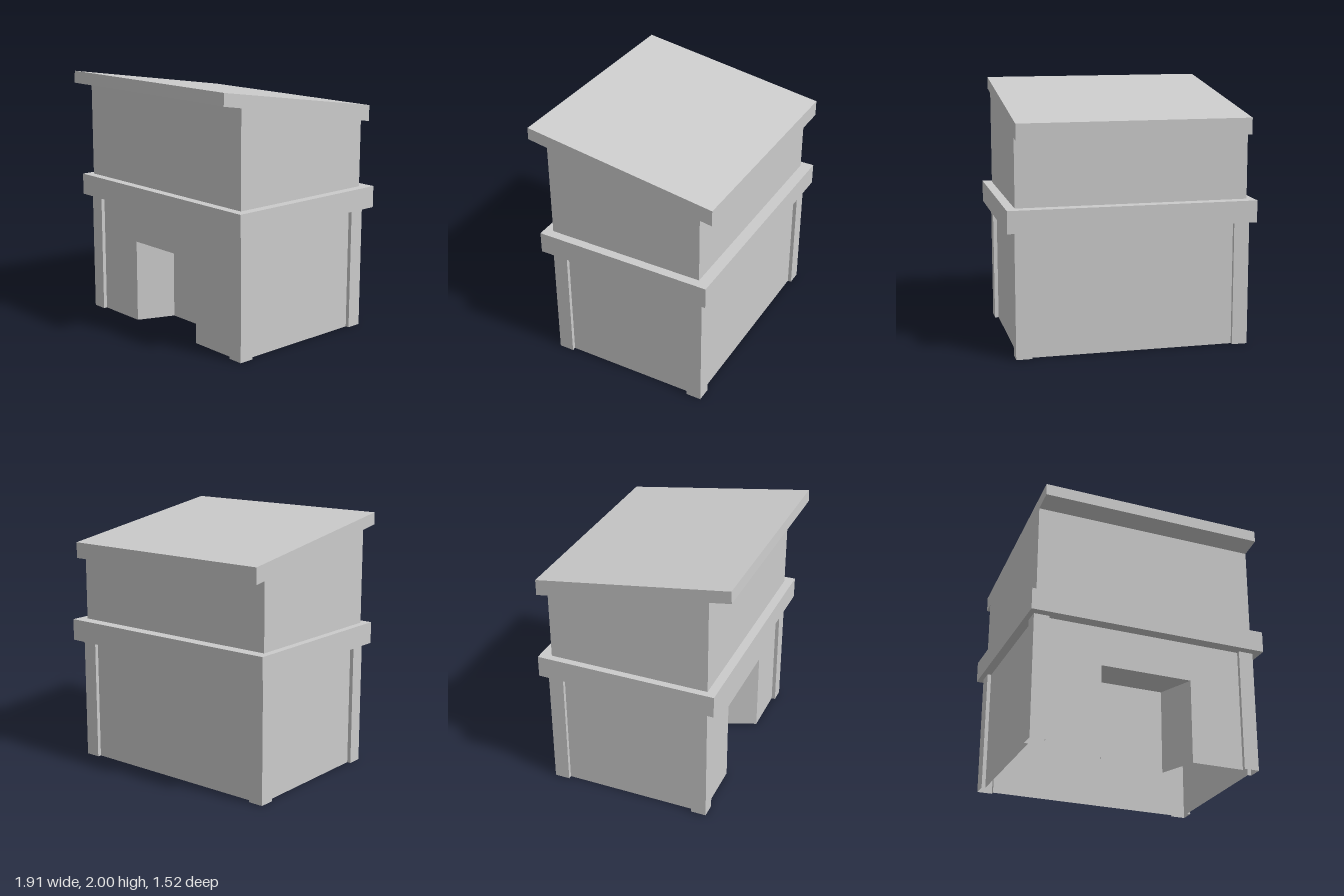
import * as THREE from 'three';

const material = new THREE.MeshStandardMaterial({ color: 0xcccccc, flatShading: true });
const thin = new THREE.MeshStandardMaterial({ color: 0xcccccc, flatShading: true, side: THREE.DoubleSide });

// Vertical ribbon through [x, z] points; it faces outward to the right of travel.
function ribbon(points, y0, y1) {
  const pos = [];
  for (let i = 0; i < points.length - 1; i++) {
    const [ax, az] = points[i], [bx, bz] = points[i + 1];
    pos.push(ax, y0, az, bx, y0, bz, bx, y1, bz, ax, y0, az, bx, y1, bz, ax, y1, az);
  }
  const g = new THREE.BufferGeometry();
  g.setAttribute('position', new THREE.Float32BufferAttribute(pos, 3));
  g.computeVertexNormals();
  return g;
}

const shapeFrom = (pts) => new THREE.Shape(pts.map(([x, y]) => new THREE.Vector2(x, y)));

export function createModel() {
  const model = new THREE.Group();
  model.name = 'building';
  const add = (name, geometry, mat = material) => {
    const mesh = new THREE.Mesh(geometry, mat);
    mesh.name = name;
    model.add(mesh);
    return mesh;
  };

  // Lower storey: hollow walls with corner pillars standing slightly proud
  const L = -0.915, R = 0.895, F = 0.605, B = -0.69; // pillar faces
  const w = 0.12, d = 0.03;                          // pillar width and projection
  const wallTop = 0.97;
  add('lowerWallsAndPillars', ribbon([
    [R - w, F - d], [R - w, F], [R, F], [R, F - w], [R - d, F - w],
    [R - d, B + w], [R, B + w], [R, B], [R - w, B], [R - w, B + d],
    [L + w, B + d], [L + w, B], [L, B], [L, B + w], [L + d, B + w],
    [L + d, F - w], [L, F - w], [L, F], [L + w, F], [L + w, F - d],
  ], 0, wallTop), thin);

  // Front wall with the doorway cut out
  const doorL = -0.37, doorR = 0.36, doorTop = 0.66, splay = 0.115;
  const frontZ = F - d, recessZ = frontZ - 0.29;
  add('frontWall', new THREE.ShapeGeometry(shapeFrom([
    [L + w, 0], [doorL, 0], [doorL, doorTop], [doorR, doorTop],
    [doorR, 0], [R - w, 0], [R - w, wallTop], [L + w, wallTop],
  ])), thin).position.z = frontZ;

  // Doorway recess: splayed jambs, back panel and soffit
  const recess = [[doorL, frontZ], [doorL + splay, recessZ], [doorR - splay, recessZ], [doorR, frontZ]];
  add('doorRecess', ribbon(recess, 0, doorTop), thin);
  const soffit = new THREE.ShapeGeometry(shapeFrom(recess));
  soffit.rotateX(Math.PI / 2);
  add('doorSoffit', soffit, thin).position.y = doorTop;

  // Band between the storeys
  const band = add('middleBand', new THREE.BoxGeometry(1.91, 0.17, 1.42));
  band.position.set(0, 1.055, -0.04);

  // Upper storey and overhanging sloped roof share one side profile ([z, y])
  const profile = [
    [0.6, 1.14], [-0.66, 1.14], [-0.66, 1.66], [-0.755, 1.645],
    [-0.755, 1.77], [0.76, 2.0], [0.765, 1.905], [0.6, 1.878],
  ];
  const upper = new THREE.ExtrudeGeometry(shapeFrom(profile.map(([z, y]) => [-z, y])),
    { depth: 1.785, bevelEnabled: false });
  upper.rotateY(Math.PI / 2);
  add('upperStoreyAndRoof', upper).position.x = -0.9;

  return model;
}
